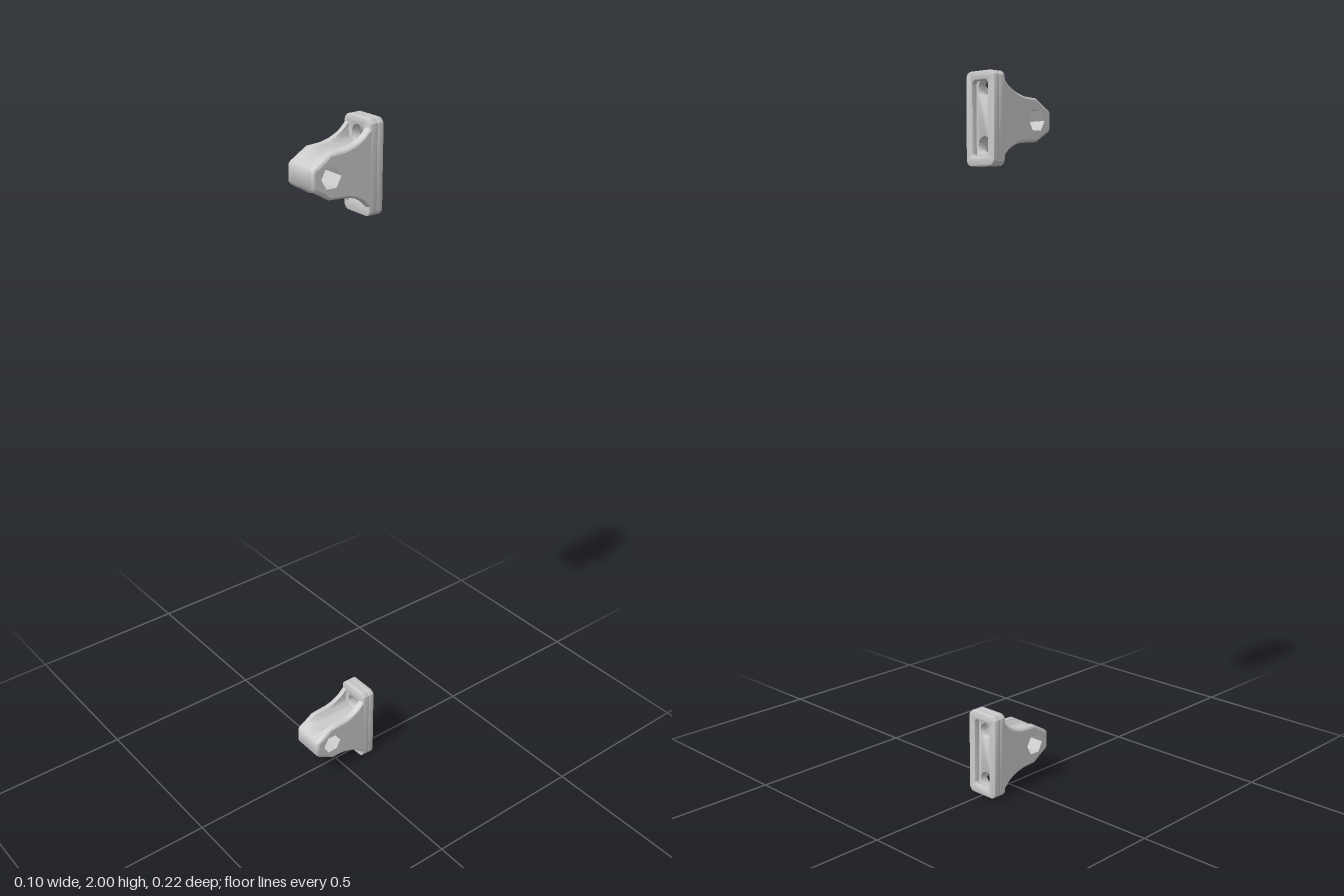
import * as THREE from 'three';
import { toCreasedNormals } from 'three/addons/utils/BufferGeometryUtils.js';

const HALF_W = 0.052, HALF_H = 0.122, GROOVE_R = 0.033;
const SCREWS = [0.08, -0.066]; // screw axis heights
const HOLE = { z: 0.053, y: 0.002, r: 0.031 };

const grey = new THREE.MeshStandardMaterial({ color: 0xcccccc });
const lining = new THREE.MeshStandardMaterial({ color: 0xcccccc, side: THREE.DoubleSide, flatShading: true });

function part(name, geometry, material = grey) {
  const mesh = new THREE.Mesh(geometry, material);
  mesh.name = name;
  return mesh;
}

// Concave flank from the plate towards the nose, as (z, y)
function flank(points) {
  const curve = new THREE.CatmullRomCurve3(points.map(([z, y]) => new THREE.Vector3(0, y, z)));
  return curve.getPoints(20).map((p) => [p.z, p.y]);
}
const TOP = [...flank([[-0.08, 0.113], [-0.066, 0.1], [-0.045, 0.082], [-0.02, 0.07], [0.01, 0.062]]),
  [0.03, 0.061], [0.053, 0.06], [0.08, 0.045], [0.104, 0.031], [0.109, 0.025]];
const BOTTOM = [[0.109, -0.021], [0.104, -0.027], [0.08, -0.041], [0.056, -0.055], [0.03, -0.057],
  ...flank([[0.0, -0.059], [-0.025, -0.066], [-0.05, -0.08], [-0.066, -0.095], [-0.08, -0.108]])];

// Side outline at one x, cut by the screw grooves and pulled in at the rounded edges
function outline(x, inset, grooved) {
  const dip = grooved ? Math.sqrt(Math.max(0, GROOVE_R ** 2 - x * x)) : 0;
  const cut = ([z, y], side) => {
    let h = y - side * inset;
    if (grooved && side > 0) h = Math.min(h, SCREWS[0] - dip);
    if (grooved && side < 0) h = Math.max(h, SCREWS[1] + dip);
    return [z > 0.07 ? z - inset : z, h];
  };
  return [...TOP.map((p) => cut(p, 1)), ...BOTTOM.map((p) => cut(p, -1))];
}

// Skin of the lug: outlines joined across the width
function lugSkin() {
  const half = [[HALF_W, 0.007], [0.0505, 0.0035], [0.048, 0.001], [0.044, 0], [GROOVE_R, 0]];
  const slices = half.map(([x, i]) => outline(-x, i, false).map((p) => [-x, p]));
  for (let k = 0; k <= 12; k++) {
    const x = -GROOVE_R * Math.cos((k / 12) * Math.PI);
    slices.push(outline(x, 0, true).map((p) => [x, p]));
  }
  half.reverse().forEach(([x, i]) => slices.push(outline(x, i, false).map((p) => [x, p])));
  const n = slices[0].length, pos = [], idx = [];
  slices.forEach((s) => s.forEach(([x, [z, y]]) => pos.push(x, y, z)));
  for (let i = 0; i < slices.length - 1; i++) {
    for (let j = 0; j < n - 1; j++) {
      const a = i * n + j, b = a + 1, c = a + n, d = c + 1;
      idx.push(a, b, c, b, d, c);
    }
  }
  const g = new THREE.BufferGeometry();
  g.setAttribute('position', new THREE.Float32BufferAttribute(pos, 3));
  g.setIndex(idx);
  return toCreasedNormals(g, 0.75);
}

// Flat cheek with the hexagonal opening, side = +1 or -1
function cheek(side) {
  const shape = new THREE.Shape(outline(HALF_W, 0.007, false).map(([z, y]) => new THREE.Vector2(-side * z, y)));
  const hex = [];
  for (let k = 0; k < 6; k++) {
    const a = (k * Math.PI) / 3;
    hex.push(new THREE.Vector2(-side * (HOLE.z + HOLE.r * Math.cos(a)), HOLE.y + HOLE.r * Math.sin(a)));
  }
  shape.holes.push(new THREE.Path(hex));
  const g = new THREE.ShapeGeometry(shape);
  g.rotateY((side * Math.PI) / 2);
  g.translate(side * HALF_W, 0, 0);
  return g;
}

function roundedRect(Kind, w, h, r, cy = 0) {
  const p = new Kind();
  p.absarc(w - r, cy + h - r, r, 0, Math.PI / 2);
  p.absarc(-w + r, cy + h - r, r, Math.PI / 2, Math.PI);
  p.absarc(-w + r, cy - h + r, r, Math.PI, Math.PI * 1.5);
  p.absarc(w - r, cy - h + r, r, Math.PI * 1.5, Math.PI * 2);
  p.closePath();
  return p;
}

// Plate layer between two depths with a softened outer edge
function plateLayer(holes, z0, z1) {
  const b = 0.004;
  const shape = roundedRect(THREE.Shape, HALF_W - b, HALF_H - b, 0.014);
  shape.holes.push(...holes);
  const g = new THREE.ExtrudeGeometry(shape, {
    depth: z1 - z0 - 2 * b, bevelThickness: b, bevelSize: b, bevelSegments: 2, curveSegments: 8,
  });
  g.translate(0, 0, z0 + b);
  return toCreasedNormals(g, 0.7);
}

function bracket(name) {
  const group = new THREE.Group();
  group.name = name;

  // Mounting plate: drilled front, slotted back
  const screwHoles = SCREWS.map((y) => new THREE.Path().absarc(0, y, 0.025, 0, Math.PI * 2));
  group.add(part('mountingPlate', plateLayer(screwHoles, -0.094, -0.067)));
  const slot = roundedRect(THREE.Path, 0.032, 0.102, 0.014);
  group.add(part('plateBackRim', plateLayer([slot], -0.11, -0.086)));

  // Lug with its hexagonal cross hole
  group.add(part('lug', lugSkin()));
  group.add(part('leftCheek', cheek(1)), part('rightCheek', cheek(-1)));
  const hex = new THREE.CylinderGeometry(HOLE.r, HOLE.r, HALF_W * 2, 6, 1, true);
  hex.rotateZ(Math.PI / 2);
  hex.translate(0, HOLE.y, HOLE.z);
  group.add(part('hexHole', hex, lining));
  return group;
}

export function createModel() {
  const model = new THREE.Group();
  model.name = 'bracketPair';
  const upper = bracket('upperBracket');
  upper.position.y = 2 - HALF_H;
  // The lower bracket is the same part turned upside down
  const lower = bracket('lowerBracket');
  lower.rotation.z = Math.PI;
  lower.position.y = HALF_H;
  model.add(upper, lower);
  return model;
}
